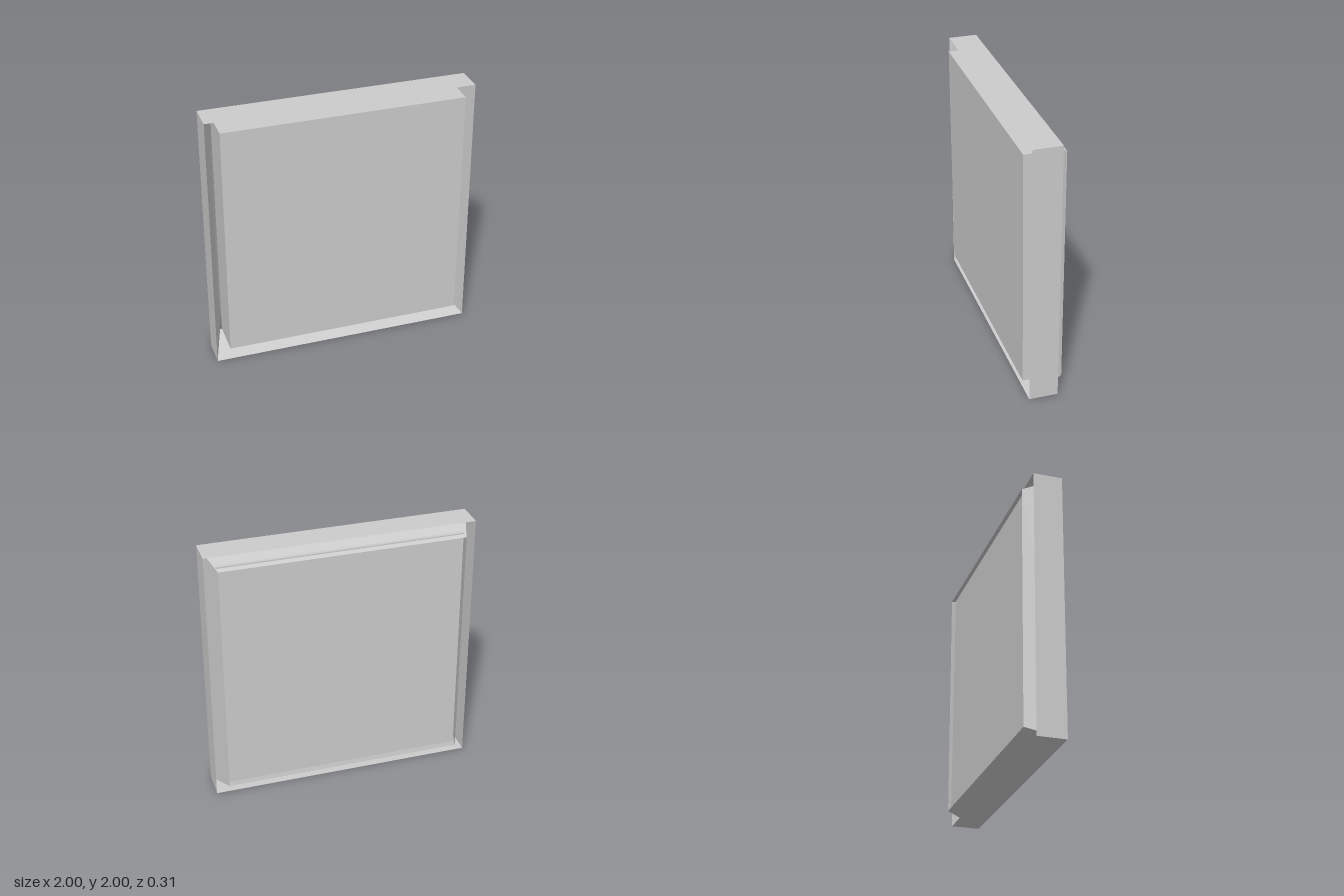
import * as THREE from 'three';

const MID_Y = 1;

// Square ring of thin sheet: profile points are [half width, z]
function squareRing(profile, material) {
  const points = profile.map(([half, z]) => new THREE.Vector2(half * Math.SQRT2, z));
  const geometry = new THREE.LatheGeometry(points, 4, Math.PI / 4);
  geometry.rotateX(Math.PI / 2);
  const mesh = new THREE.Mesh(geometry, material);
  mesh.position.y = MID_Y;
  return mesh;
}

export function createModel() {
  const group = new THREE.Group();
  const sheet = new THREE.MeshStandardMaterial({
    color: 0xcccccc, flatShading: true, side: THREE.DoubleSide,
  });
  const solid = new THREE.MeshStandardMaterial({ color: 0xcccccc, flatShading: true });

  // Straight outer walls, open at the back
  const outerWall = squareRing([[1, -0.095], [1, 0.12]], sheet);
  outerWall.name = 'outerFrameWall';

  // Inner walls tapering from the front edge to the smaller rear opening
  const innerWall = squareRing([[1, 0.12], [0.91, -0.153]], sheet);
  innerWall.name = 'taperedInnerWall';

  // Thick panel set in the frame, leaning very slightly forward
  const panel = new THREE.Mesh(new THREE.BoxGeometry(1.816, 1.82, 0.271), solid);
  panel.name = 'panel';
  panel.position.set(0.007, 1.02, 0.0125);
  panel.rotation.x = 0.0055;

  group.add(outerWall, innerWall, panel);
  return group;
}
